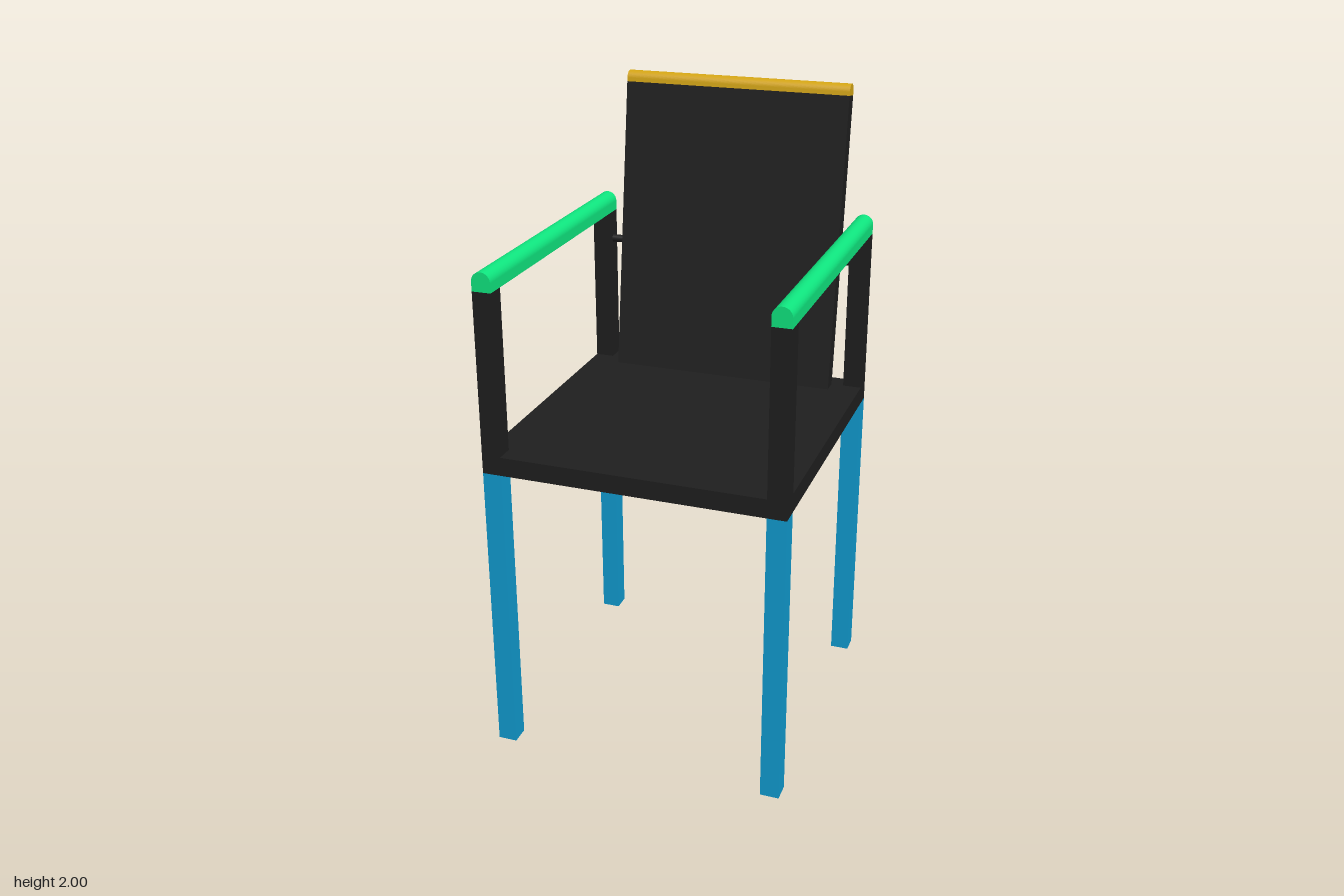
import * as THREE from 'three';

const mat = (color) => new THREE.MeshStandardMaterial({ color });

function add(parent, name, geometry, material, x, y, z) {
  const mesh = new THREE.Mesh(geometry, material);
  mesh.name = name;
  mesh.position.set(x, y, z);
  parent.add(mesh);
  return mesh;
}

// Bar with a flat bottom at y = 0 and a half-round top, centred along z
function domedBar(radius, sideHeight, length) {
  const s = new THREE.Shape();
  s.moveTo(-radius, 0);
  s.lineTo(radius, 0);
  s.lineTo(radius, sideHeight);
  s.absarc(0, sideHeight, radius, 0, Math.PI, false);
  s.closePath();
  const g = new THREE.ExtrudeGeometry(s, { depth: length, bevelEnabled: false, curveSegments: 16 });
  return g.translate(0, 0, -length / 2);
}

export function createModel() {
  const chair = new THREE.Group();
  chair.name = 'armchair';
  const black = mat(0x1f1f1f);
  const blue = mat(0x109bd0);
  const green = mat(0x0fe67f);
  const gold = mat(0xd4a514);

  const T = 0.06; // square section of legs and posts
  const legX = 0.445, frontZ = 0.48, backZ = -0.415;
  const seatBottom = 0.96, seatTop = 1.02, armBottom = 1.535;
  const depth = frontZ - backZ + T;
  const midZ = (frontZ + backZ) / 2;

  // Seat slab
  add(chair, 'seat', new THREE.BoxGeometry(2 * legX + T, T, depth), black,
    0, (seatBottom + seatTop) / 2, midZ);

  // Legs, arm posts and armrests, mirrored left and right
  for (const [side, sx] of [['left', 1], ['right', -1]]) {
    for (const [end, z] of [['Front', frontZ], ['Back', backZ]]) {
      add(chair, side + end + 'Leg', new THREE.BoxGeometry(T, seatBottom, T), blue,
        sx * legX, seatBottom / 2, z);
      const h = armBottom - seatTop;
      add(chair, side + end + 'ArmPost', new THREE.BoxGeometry(T, h, T), black,
        sx * legX, seatTop + h / 2, z);
    }
    add(chair, side + 'Armrest', domedBar(T / 2, T / 2, depth), green, sx * legX, armBottom, midZ);
  }

  // Thin rod holding the backrest between the rear posts
  const rod = new THREE.CylinderGeometry(0.0125, 0.0125, 2 * legX - T, 20).rotateZ(Math.PI / 2);
  add(chair, 'backSupportRod', rod, black, 0, 1.442, backZ);

  // Reclined backrest with a rounded top rail
  const back = new THREE.Group();
  back.name = 'backrest';
  back.position.set(0, 1.0166, -0.36);
  back.rotation.x = -THREE.MathUtils.degToRad(7.75);
  const width = 0.75, thickness = 0.05, height = 0.955;
  add(back, 'backPanel', new THREE.BoxGeometry(width, height, thickness), black, 0, height / 2, 0);
  add(back, 'topRail', domedBar(thickness / 2, 0.012, width).rotateY(Math.PI / 2), gold, 0, height, 0);
  chair.add(back);

  return chair;
}
